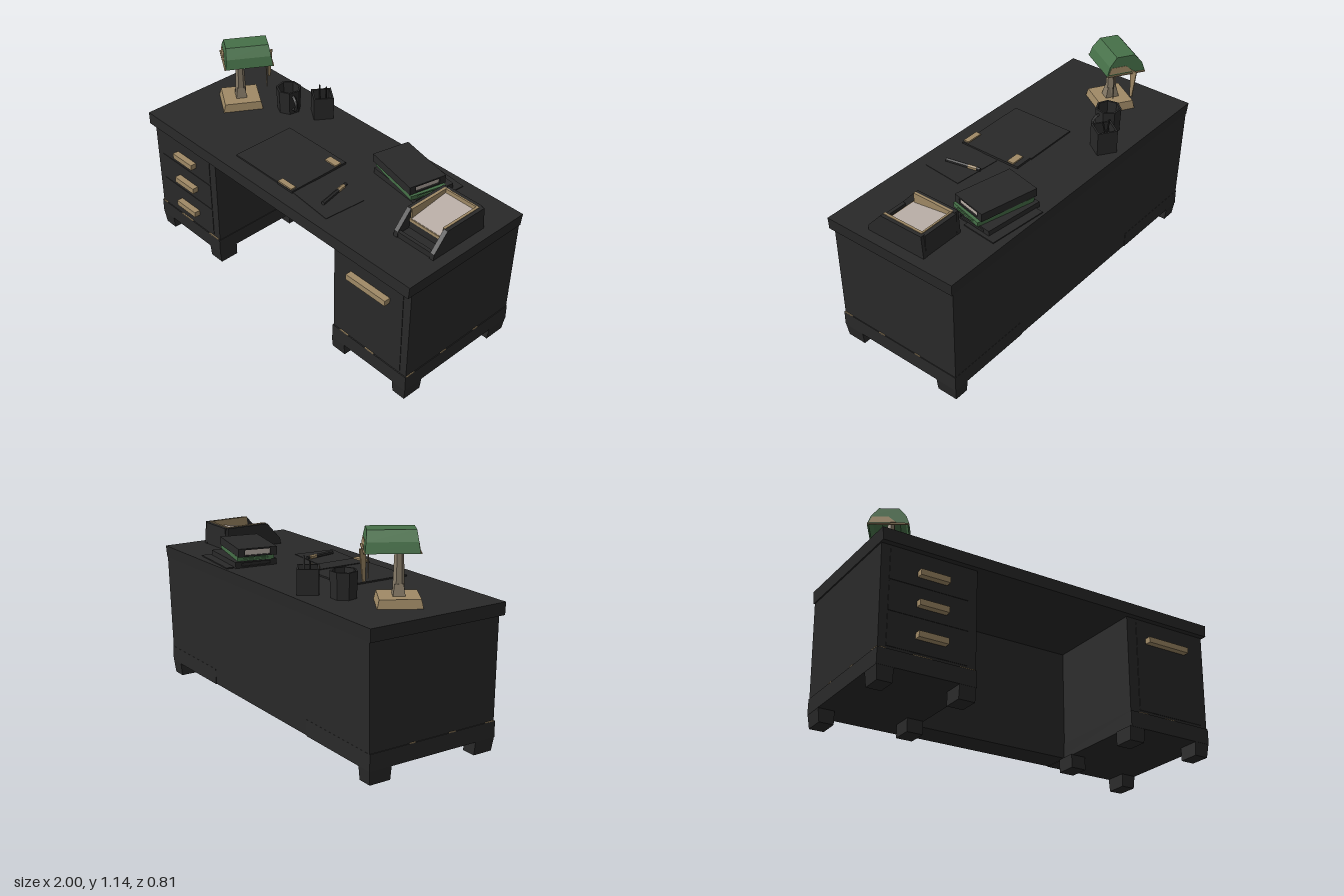
import * as THREE from 'three';

const mat = (name, color) => Object.assign(new THREE.MeshStandardMaterial({ color, flatShading: true }), { name });

export function createModel() {
  const black = mat('blackWood', 0x292929);
  const brass = mat('brass', 0xa08a66);
  const bronze = mat('agedBronze', 0x857966);
  const green = mat('greenGlass', 0x467048);
  const paper = mat('paper', 0xb8ada5);
  const desk = new THREE.Group();
  desk.name = 'desk';

  const add = (parent, name, geo, material, x = 0, y = 0, z = 0, ry = 0) => {
    const m = new THREE.Mesh(geo, material);
    m.name = name;
    m.position.set(x, y, z);
    m.rotation.y = ry;
    parent.add(m);
    return m;
  };
  const group = (name, x, y, z, ry = 0) => {
    const g = new THREE.Group();
    g.name = name;
    g.position.set(x, y, z);
    g.rotation.y = ry;
    desk.add(g);
    return g;
  };
  // box between two corners
  const box = (parent, name, material, x0, x1, y0, y1, z0, z1) =>
    add(parent, name, new THREE.BoxGeometry(x1 - x0, y1 - y0, z1 - z0), material,
      (x0 + x1) / 2, (y0 + y1) / 2, (z0 + z1) / 2);
  // box whose bottom [x0,x1,z0,z1] and top [x0,x1,z0,z1] differ
  const taper = (b, t, y0, y1) => {
    const geo = new THREE.BoxGeometry(1, 1, 1);
    const p = geo.attributes.position;
    for (let i = 0; i < p.count; i++) {
      const r = p.getY(i) > 0 ? t : b;
      p.setXYZ(i, p.getX(i) > 0 ? r[1] : r[0], p.getY(i) > 0 ? y1 : y0, p.getZ(i) > 0 ? r[3] : r[2]);
    }
    geo.computeVertexNormals();
    return geo;
  };

  // desktop, pedestals and the deep back of the kneehole
  add(desk, 'desktop', taper([-0.995, 0.995, -0.4, 0.402], [-1, 1, -0.405, 0.4], 0.7, 0.768), black);
  add(desk, 'leftPedestal', taper([0.47, 0.98, -0.385, 0.37], [0.47, 0.988, -0.4, 0.37], 0.075, 0.7), black);
  add(desk, 'rightPedestal', taper([-0.98, -0.46, -0.385, 0.37], [-0.988, -0.46, -0.4, 0.37], 0.075, 0.7), black);
  add(desk, 'backPanel', taper([-0.465, 0.475, -0.385, -0.225], [-0.465, 0.475, -0.4, -0.225], 0.075, 0.7), black);

  // plinths, with short brass inlays along their top edge
  box(desk, 'leftPlinth', black, 0.467, 0.985, 0.073, 0.16, -0.388, 0.376);
  box(desk, 'rightPlinth', black, -0.985, -0.457, 0.073, 0.16, -0.388, 0.376);
  for (const [x0, x1] of [[-0.97, -0.94], [-0.8, -0.7], [-0.55, -0.47], [0.52, 0.58], [0.7, 0.76]]) {
    box(desk, 'frontInlay', brass, x0, x1, 0.159, 0.163, 0.368, 0.377);
  }
  for (const s of [-1, 1]) {
    for (const [z0, z1] of [[0.315, 0.37], [0.085, 0.125], [-0.155, -0.12]]) {
      const x = 0.982 * s;
      box(desk, 'sideInlay', brass, x - 0.004, x + 0.004, 0.159, 0.163, z0, z1);
    }
  }

  // feet, the inner rear ones set further forward
  for (const s of [-1, 1]) {
    for (const [a, b, z0, z1] of [[0.895, 0.984, 0.255, 0.375], [0.895, 0.984, -0.387, -0.26],
      [0.46, 0.55, 0.255, 0.375], [0.46, 0.55, -0.26, -0.145]]) {
      const top = [Math.min(a * s, b * s), Math.max(a * s, b * s), z0, z1];
      const outer = b > 0.9 ? 0.01 : 0;
      const bottom = [top[0] + (s < 0 ? outer : 0), top[1] - (s > 0 ? outer : 0),
        z0 < -0.3 ? z0 + 0.008 : z0, z1 > 0.3 ? z1 - 0.008 : z1];
      add(desk, 'foot', taper(bottom, top, 0, 0.076), black);
    }
  }

  // drawer fronts and handles
  for (const [y0, y1, yh] of [[0.52, 0.68, 0.585], [0.357, 0.51, 0.425], [0.175, 0.347, 0.26]]) {
    box(desk, 'drawerFront', black, -0.94, -0.51, y0, y1, 0.365, 0.373);
    box(desk, 'drawerHandle', brass, -0.79, -0.63, yh - 0.016, yh + 0.016, 0.37, 0.408);
  }
  box(desk, 'cupboardDoor', black, 0.53, 0.94, 0.175, 0.68, 0.365, 0.373);
  box(desk, 'doorHandle', brass, 0.59, 0.855, 0.565, 0.597, 0.37, 0.408);

  // desk lamp foot and stem
  const stand = group('lampStand', -0.74, 0, -0.05, -0.55);
  add(stand, 'lampBase', taper([-0.1, 0.1, -0.11, 0.11], [-0.092, 0.092, -0.1, 0.1], 0.768, 0.813), brass);
  add(stand, 'lampFoot', taper([-0.038, 0.038, -0.03, 0.03], [-0.025, 0.025, -0.022, 0.022], 0.813, 0.87), bronze);
  add(stand, 'lampStem', new THREE.CylinderGeometry(0.02, 0.03, 0.25, 6), bronze, 0, 0.96, 0);

  // lamp shade: an arched shell whose ends lean inwards
  const lamp = group('lampHead', -0.725, 0, -0.09, -0.55);
  const arch = [[-0.11, 1.038], [-0.093, 1.09], [-0.052, 1.14], [0.052, 1.14], [0.093, 1.09], [0.11, 1.038]];
  const inner = arch.map(([x, y]) => [x * 0.92, y > 1.04 ? y - 0.008 : y]).reverse();
  const hood = (pts, z0, z1) => {
    const geo = new THREE.ExtrudeGeometry(new THREE.Shape(pts.map(p => new THREE.Vector2(...p))),
      { depth: z1 - z0, bevelEnabled: false });
    geo.translate(0, 0, z0);
    const p = geo.attributes.position;
    for (let i = 0; i < p.count; i++) p.setZ(i, p.getZ(i) * (1 - (p.getY(i) - 1.038) * 0.9));
    geo.computeVertexNormals();
    return geo;
  };
  add(lamp, 'lampShade', hood([...arch, ...inner], -0.128, 0.128), green);
  const low = [[-0.1, 1.05], [-0.085, 1.085], [0.0, 1.085], [0.04, 1.05]];
  for (const s of [-1, 1]) {
    add(lamp, 'shadeEnd', hood(arch, s * 0.125 - 0.004, s * 0.125 + 0.004), green);
    add(lamp, 'shadeEndPlate', hood(low.map(([x, y]) => [x * -s * -1, y]), s * 0.129 - 0.002, s * 0.129 + 0.002), brass);
    box(lamp, 'shadeRim', brass, -0.108, 0.108, 1.036, 1.043, s * 0.131 - 0.005, s * 0.131 + 0.005);
  }
  add(desk, 'pullStrip', taper([-0.694, -0.686, -0.225, -0.212], [-0.694, -0.686, -0.245, -0.207], 0.89, 1.05), brass);
  box(desk, 'pullChain', bronze, -0.627, -0.622, 0.88, 1.05, -0.148, -0.143);

  // mug with handle
  const mug = group('mug', -0.503, 0.768, -0.2);
  const wall = [[0, 0], [0.066, 0], [0.071, 0.137], [0.06, 0.137], [0.056, 0.02], [0, 0.02]];
  add(mug, 'mugBody', new THREE.LatheGeometry(wall.map(p => new THREE.Vector2(...p)), 7), black);
  add(mug, 'mugHandle', new THREE.TorusGeometry(0.04, 0.01, 4, 8, Math.PI), black, 0.06, 0.07, 0.02, -0.3)
    .rotation.z = -Math.PI / 2;

  // pen pot
  const pot = group('penPot', -0.333, 0.768, -0.295, -0.6);
  box(pot, 'potFloor', black, -0.05, 0.05, 0, 0.02, -0.05, 0.05);
  for (let i = 0; i < 4; i++) {
    const a = i * Math.PI / 2;
    add(pot, 'potWall', new THREE.BoxGeometry(0.11, 0.132, 0.01), black,
      Math.sin(a) * 0.05, 0.066, Math.cos(a) * 0.05, a);
  }
  for (const [x, z, t, h] of [[-0.02, 0.01, 0.15, 0.16], [0.0, -0.02, -0.2, 0.175]]) {
    add(pot, 'pen', new THREE.CylinderGeometry(0.005, 0.005, h, 5), black, x, 0.01 + h / 2, z).rotation.z = t;
  }

  // stack of books, wrapped on the long sides and open at the ends
  const book = (x, z, ry, w, d, y0, y1, cover, leaves) => {
    const g = group('book', x, 0, z, ry);
    const c = 0.008;
    box(g, 'lowerCover', cover, -w / 2, w / 2, y0, y0 + c, -d / 2, d / 2);
    box(g, 'upperCover', cover, -w / 2, w / 2, y1 - c, y1, -d / 2, d / 2);
    for (const s of [-1, 1]) {
      const e = s * (d / 2 - 0.018);
      box(g, 'coverEdge', cover, -w / 2, w / 2, y0 + c, y1 - c, e - 0.018, e + 0.018);
    }
    box(g, 'pages', leaves, -w / 2 + 0.008, w / 2 - 0.008, y0 + c, y1 - c, -d / 2 + 0.036, d / 2 - 0.036);
  };
  book(0.44, -0.21, -0.12, 0.34, 0.24, 0.769, 0.802, black, black);
  book(0.44, -0.188, -0.25, 0.34, 0.205, 0.803, 0.827, green, green);
  book(0.425, -0.19, -0.22, 0.34, 0.215, 0.828, 0.873, black, paper);
  add(desk, 'looseFolder', new THREE.BoxGeometry(0.34, 0.006, 0.2), black, 0.47, 0.771, -0.275, -0.1);

  // paper tray
  const tray = group('paperTray', 0.81, 0, 0);
  const side = [[0.18, 0.768], [0.175, 0.8], [0.09, 0.895], [-0.17, 0.895], [-0.18, 0.768]];
  for (const x of [-0.13, 0.105]) {
    const geo = new THREE.ExtrudeGeometry(new THREE.Shape(side.map(([z, y]) => new THREE.Vector2(-z, y))),
      { depth: 0.025, bevelEnabled: false });
    geo.rotateY(Math.PI / 2);
    add(tray, 'traySide', geo, black, x);
  }
  box(tray, 'trayBack', black, -0.11, 0.11, 0.768, 0.893, -0.178, -0.155);
  box(tray, 'trayFront', black, -0.11, 0.11, 0.768, 0.8, 0.155, 0.175);
  box(tray, 'trayFloor', black, -0.11, 0.11, 0.768, 0.785, -0.16, 0.16);
  box(tray, 'trayBlock', black, -0.11, 0.11, 0.785, 0.825, -0.16, 0.097);
  for (const x of [-0.104, 0.104]) box(tray, 'sideLiner', brass, x - 0.007, x + 0.007, 0.82, 0.898, -0.155, 0.088);
  box(tray, 'backLiner', brass, -0.105, 0.105, 0.82, 0.897, -0.157, -0.147);
  const sheets = add(tray, 'paperStack', new THREE.BoxGeometry(0.192, 0.025, 0.24), paper, 0, 0.847, -0.028);
  sheets.rotation.x = 0.14;
  box(tray, 'frontLip', brass, -0.105, 0.105, 0.825, 0.841, 0.089, 0.098);

  // blotter, folder with clips and a fountain pen
  box(desk, 'blotter', black, -0.345, -0.01, 0.766, 0.776, -0.065, 0.31);
  box(desk, 'folderStrip', black, -0.01, 0.1, 0.766, 0.78, -0.06, 0.315);
  add(desk, 'looseSheet', new THREE.BoxGeometry(0.28, 0.004, 0.24), black, 0.24, 0.769, 0.2, -0.09);
  box(desk, 'clip', brass, 0.015, 0.095, 0.775, 0.788, -0.03, 0.01);
  box(desk, 'clip', brass, -0.01, 0.09, 0.775, 0.788, 0.28, 0.312);
  const pen = group('fountainPen', 0.258, 0.781, 0.17, 0.2);
  for (const [name, m, z, len, r] of [['penBarrel', black, 0.035, 0.13, 0.011], ['penBand', brass, -0.055, 0.05, 0.012],
    ['penCap', black, -0.09, 0.02, 0.01]]) {
    add(pen, name, new THREE.CylinderGeometry(r, r, len, 6), m, 0, 0, z).rotation.x = Math.PI / 2;
  }
  return desk;
}
